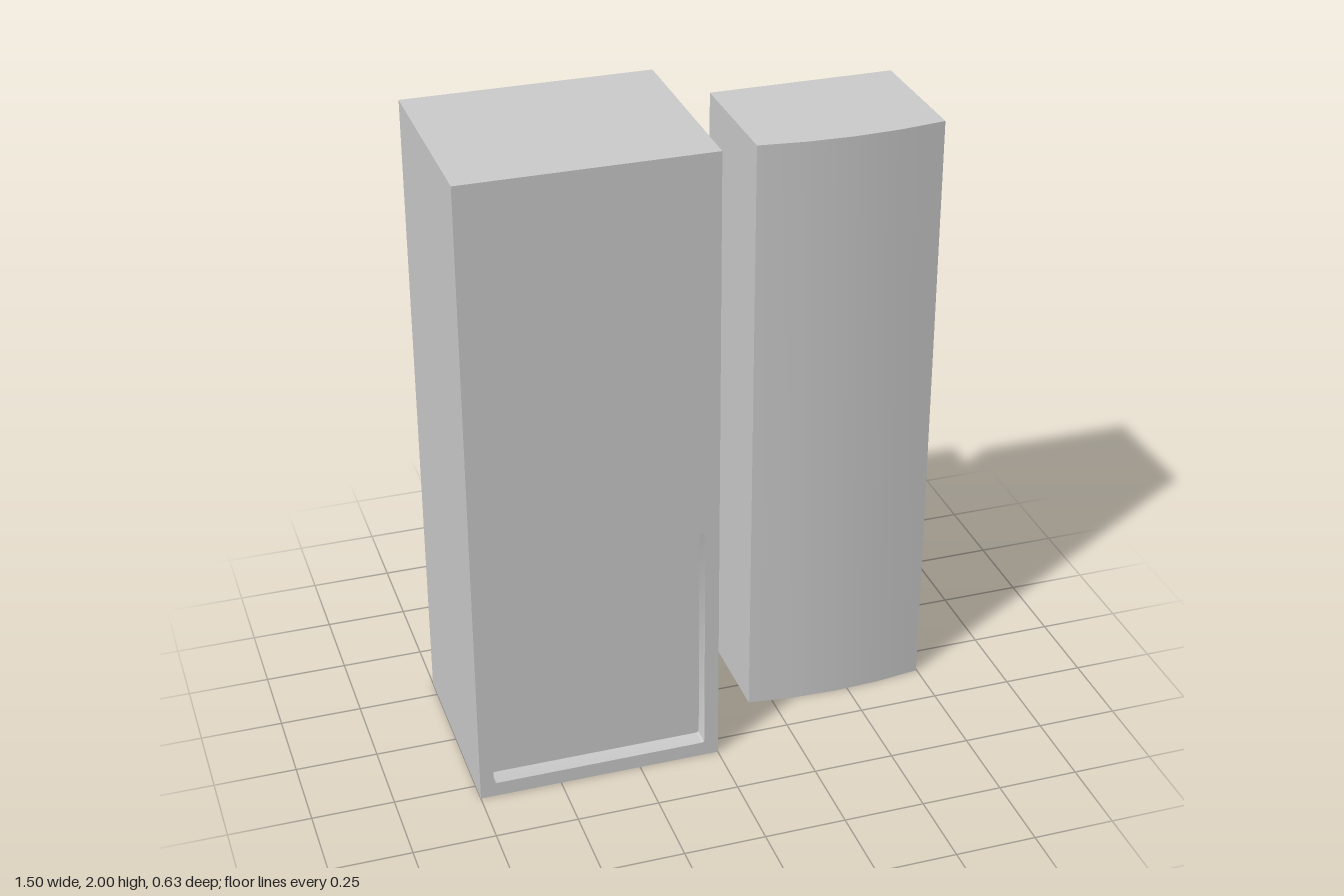
import * as THREE from 'three';
import { toCreasedNormals } from 'three/addons/utils/BufferGeometryUtils.js';

const material = new THREE.MeshStandardMaterial({ color: 0xcccccc });

function addMesh(group, name, geometry, x, y, z) {
  const mesh = new THREE.Mesh(geometry, material);
  mesh.name = name;
  mesh.position.set(x, y, z);
  group.add(mesh);
}

// Rectangle path with slightly rounded corners
function roundedRect(path, x0, y0, x1, y1, r) {
  path.moveTo(x0 + r, y0);
  path.lineTo(x1 - r, y0).quadraticCurveTo(x1, y0, x1, y0 + r);
  path.lineTo(x1, y1 - r).quadraticCurveTo(x1, y1, x1 - r, y1);
  path.lineTo(x0 + r, y1).quadraticCurveTo(x0, y1, x0, y1 - r);
  path.lineTo(x0, y0 + r).quadraticCurveTo(x0, y0, x0 + r, y0);
  return path;
}

// Tall cabinet: solid body behind a front plate whose opening forms the recess
function createCabinet() {
  const group = new THREE.Group();
  group.name = 'tallCabinet';
  const width = 0.75, height = 2, back = -0.314, front = 0.314, recess = 0.055;
  const depth = front - recess - back;
  addMesh(group, 'cabinetBody', new THREE.BoxGeometry(width, height, depth),
    -width / 2, height / 2, back + depth / 2);

  const plate = new THREE.Shape();
  plate.moveTo(-width, 0).lineTo(0, 0).lineTo(0, height).lineTo(-width, height).closePath();
  plate.holes.push(roundedRect(new THREE.Path(), -0.708, 0.046, -0.044, 0.8, 0.01));
  const geometry = new THREE.ExtrudeGeometry(plate, { depth: recess, bevelEnabled: false, curveSegments: 4 });
  addMesh(group, 'recessedFrontPlate', toCreasedNormals(geometry, 0.6), 0, 0, front - recess);
  return group;
}

// Shorter cabinet: plan outline with a gently bowed front, extruded upwards
function createBowedCabinet() {
  const group = new THREE.Group();
  group.name = 'bowedCabinet';
  const x0 = 0.176, x1 = 0.748, back = -0.314, side = 0.1, bulge = 0.024, height = 1.906;
  const segments = 4;
  const plan = new THREE.Shape();
  plan.moveTo(x1, -back).lineTo(x0, -back);
  // Front arc, from the left end in plan to the right end
  const arc = [];
  for (let i = 0; i <= segments; i++) {
    const t = i / segments;
    const z = side + bulge * 4 * t * (1 - t);
    arc.push(new THREE.Vector2(x0 + (x1 - x0) * t, -z));
  }
  arc.forEach((p) => plan.lineTo(p.x, p.y));
  plan.closePath();
  const geometry = new THREE.ExtrudeGeometry(plan, { depth: height, bevelEnabled: false });
  geometry.rotateX(-Math.PI / 2);
  addMesh(group, 'bowedCabinetBody', toCreasedNormals(geometry, 0.6), 0, 0, 0);
  return group;
}

export function createModel() {
  const model = new THREE.Group();
  model.name = 'cabinetPair';
  model.add(createCabinet(), createBowedCabinet());
  return model;
}
